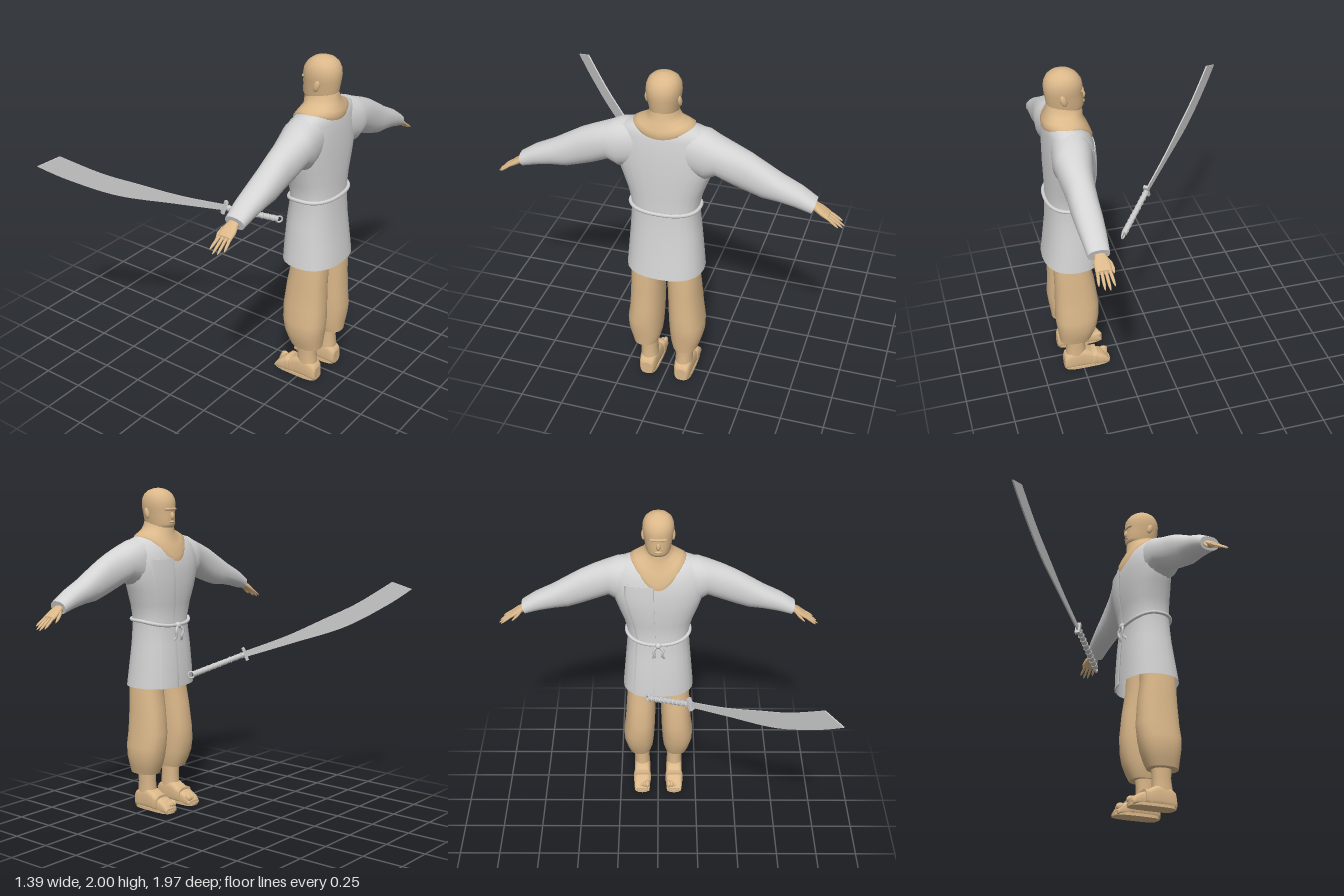
import * as THREE from 'three';

const V = (x, y, z) => new THREE.Vector3(x, y, z);
const mat = (name, color) => new THREE.MeshStandardMaterial({ name, color, side: THREE.DoubleSide });

// Rounded-box/ellipse point: centre + u*cos + v*sin, with corner squareness p
const point = (c, u, v, a, p, k = 1) => {
  const f = (t) => Math.sign(t) * Math.abs(t) ** p * k;
  return c.clone().addScaledVector(u, f(Math.cos(a))).addScaledVector(v, f(Math.sin(a)));
};
const ring = (c, u, v, p = 0.9, n = 24) =>
  Array.from({ length: n }, (_, i) => point(c, u, v, (i / n) * Math.PI * 2, p));

// Skin a list of rings; side = -1 mirrors across z
function loft(rings, { side = 1, start = true, end = true } = {}) {
  const n = rings[0].length, pos = [], idx = [];
  const add = (q) => { pos.push(q.x, q.y, q.z * side); return pos.length / 3 - 1; };
  const tri = (a, b, c) => (side > 0 ? idx.push(a, b, c) : idx.push(a, c, b));
  rings.forEach((r) => r.forEach(add));
  for (let j = 0; j < rings.length - 1; j++) for (let i = 0; i < n; i++) {
    const a = j * n + i, b = j * n + (i + 1) % n;
    tri(a, b, b + n); tri(a, b + n, a + n);
  }
  const cap = (r, flip) => {
    const c = add(r.reduce((s, q) => s.add(q), V(0, 0, 0)).divideScalar(n));
    const ids = r.map(add);
    ids.forEach((d, i) => { const e = ids[(i + 1) % n]; flip ? tri(c, e, d) : tri(c, d, e); });
  };
  if (start) cap(rings[0], true);
  if (end) cap(rings[rings.length - 1], false);
  const g = new THREE.BufferGeometry();
  g.setAttribute('position', new THREE.Float32BufferAttribute(pos, 3));
  g.setIndex(idx);
  g.computeVertexNormals();
  return g;
}

// Horizontal ring from y and its x range and z range
const level = ([y, x0, x1, z0, z1], p) =>
  ring(V((x0 + x1) / 2, y, (z0 + z1) / 2), V(0, 0, (z1 - z0) / 2), V((x1 - x0) / 2, 0, 0), p);

// Tapered limb running mostly along z
const finger = (pts, rx, ry, side) => loft(pts.map(([x, y, z], i) => {
  const k = [0.85, 1, 0.85, 0.35][i];
  return ring(V(x, y, z), V(rx * k, 0, 0), V(0, ry * k, 0), 1, 8);
}), { side });

export function createModel() {
  const root = new THREE.Group();
  const skin = mat('tan', 0xdbb88a), cloth = mat('light grey', 0xd4d4d4), steel = mat('steel grey', 0xcacaca);
  const add = (name, geo, m, parent = root) => {
    const mesh = new THREE.Mesh(geo, m);
    mesh.name = name;
    parent.add(mesh);
    return mesh;
  };

  // Tunic: y, front x, back x, half width
  const rows = [
    [0.79, 0.345, 0.69, 0.222], [0.9, 0.35, 0.675, 0.213], [1.05, 0.362, 0.655, 0.2], [1.2, 0.38, 0.645, 0.188],
    [1.3, 0.37, 0.645, 0.212], [1.4, 0.36, 0.645, 0.25], [1.5, 0.362, 0.642, 0.285], [1.58, 0.37, 0.637, 0.285],
    [1.65, 0.395, 0.63, 0.265], [1.69, 0.43, 0.62, 0.235], [1.715, 0.47, 0.6, 0.16]];
  add('tunic', loft(rows.map(([y, a, b, w]) => level([y, a, b, -w, w], 0.85)), { start: false }), cloth);

  // Overlapping front flap, a thin shell hugging the tunic
  const arc = Array.from({ length: 9 }, (_, i) => Math.PI * 1.5 - 0.7 + i * 0.08);
  add('frontFlap', loft(rows.slice(0, 8).map(([y, a, b, w]) => {
    const at = (t, k) => point(V((a + b) / 2, y, 0), V(0, 0, w), V((b - a) / 2, 0, 0), t, 0.85, k);
    return [...arc.map((t) => at(t, 1.035)), ...arc.slice().reverse().map((t) => at(t, 1.0))];
  })), cloth);

  // Belt cord, knot and hanging ends
  const cord = Array.from({ length: 32 }, (_, i) => {
    const q = point(V(0.512, 1.2, 0), V(0, 0, 0.196), V(0.141, 0, 0), (i / 32) * Math.PI * 2, 0.85);
    q.y = 1.205 - 0.035 * Math.max(0, (0.52 - q.x) / 0.15) ** 2;
    return q;
  });
  add('belt', new THREE.TubeGeometry(new THREE.CatmullRomCurve3(cord, true), 80, 0.011, 8, true), cloth);
  add('beltKnot', new THREE.SphereGeometry(0.02, 12, 8).translate(0.364, 1.17, 0), cloth);
  for (const s of [-1, 1]) {
    const c = new THREE.CatmullRomCurve3([V(0.365, 1.17, 0), V(0.35, 1.14, s * 0.03), V(0.355, 1.1, s * 0.025), V(0.375, 1.07, s * 0.04)]);
    add('beltEnd', new THREE.TubeGeometry(c, 16, 0.008, 6), cloth);
  }

  // Scarf: draped around the shoulders and pointed at the chest
  const drape = (front, back, w, y, dipF, dipB) => Array.from({ length: 32 }, (_, i) => {
    const q = point(V(0.525, y, 0), V(0, 0, w), V(1, 0, 0), (i / 32) * Math.PI * 2, 1);
    const t = q.x - 0.525;
    q.x = 0.525 + t * (t < 0 ? 0.525 - front : back - 0.525);
    q.y -= t < 0 ? dipF * (-t) ** 3 : dipB * t ** 3;
    return q;
  });
  add('scarf', loft([
    drape(0.362, 0.64, 0.165, 1.7, 0.14, 0.035), drape(0.362, 0.646, 0.168, 1.718, 0.125, 0.03),
    drape(0.385, 0.64, 0.14, 1.732, 0.075, 0.02), drape(0.412, 0.625, 0.1, 1.75, 0.04, 0),
    drape(0.412, 0.617, 0.08, 1.775, 0.02, 0), drape(0.425, 0.61, 0.07, 1.81, 0, 0)], { start: false }), skin);

  // Head
  add('head', loft([
    [1.74, 0.44, 0.6, 0.066], [1.765, 0.412, 0.6, 0.07], [1.785, 0.402, 0.608, 0.076], [1.83, 0.405, 0.614, 0.083],
    [1.87, 0.407, 0.62, 0.09], [1.9, 0.405, 0.622, 0.094], [1.935, 0.412, 0.618, 0.092], [1.965, 0.432, 0.602, 0.08],
    [1.985, 0.458, 0.578, 0.058], [1.996, 0.487, 0.548, 0.03], [2, 0.513, 0.52, 0.004],
  ].map(([y, a, b, w]) => level([y, a, b, -w, w], 0.95))), skin);
  add('nose', new THREE.SphereGeometry(1, 12, 8).scale(0.016, 0.024, 0.013).translate(0.406, 1.832, 0), skin);
  add('brow', new THREE.SphereGeometry(1, 16, 8).scale(0.02, 0.011, 0.055).translate(0.42, 1.874, 0), skin);
  add('mouth', new THREE.SphereGeometry(1, 12, 8).scale(0.012, 0.008, 0.024).translate(0.407, 1.797, 0), skin);

  for (const side of [1, -1]) {
    const o = { side };
    const ear = add('ear', new THREE.SphereGeometry(1, 12, 8).scale(0.018, 0.034, 0.012), skin);
    ear.position.set(0.53, 1.85, side * 0.089);
    ear.rotation.z = -0.3;

    // Sleeve: z, top y, bottom y, front x, back x
    add('sleeve', loft([
      [0.12, 1.712, 1.45, 0.42, 0.62], [0.24, 1.698, 1.42, 0.41, 0.64], [0.3, 1.672, 1.455, 0.43, 0.636],
      [0.39, 1.638, 1.415, 0.448, 0.625], [0.47, 1.602, 1.385, 0.455, 0.615], [0.55, 1.555, 1.36, 0.457, 0.613],
      [0.64, 1.5, 1.352, 0.458, 0.608], [0.74, 1.445, 1.335, 0.465, 0.6], [0.825, 1.388, 1.312, 0.473, 0.592],
    ].map(([z, t, b, x0, x1], i) => ring(V((x0 + x1) / 2, (t + b) / 2, z), V((x1 - x0) / 2, 0, 0),
      V(0, (t - b) / 2, i > 6 ? 0.012 : 0)), 0.9), o), cloth);

    // Hand: palm, fingers and thumb
    const hand = new THREE.Group();
    hand.name = 'hand';
    root.add(hand);
    add('palm', loft([
      [0.79, 1.36, 0.03, 0.025], [0.83, 1.342, 0.032, 0.022], [0.865, 1.322, 0.044, 0.019], [0.905, 1.297, 0.044, 0.013],
    ].map(([z, y, rx, ry]) => ring(V(0.527, y, z), V(rx, 0, 0), V(0, ry, 0), 0.8, 16)), o), skin, hand);
    for (let i = 0; i < 4; i++) {
      const x = 0.495 + i * 0.0215, len = [0.07, 0.085, 0.08, 0.06][i], dx = (i - 1.5) * 0.006;
      add('finger', finger([0, 0.35, 0.75, 1].map((t) =>
        [x + dx * t, 1.3 - len * 0.7 * t, 0.9 + len * t]), 0.0095, 0.0095, side), skin, hand);
    }
    add('thumb', finger([[0.497, 1.333, 0.84], [0.482, 1.315, 0.86], [0.474, 1.295, 0.885], [0.473, 1.28, 0.9]],
      0.012, 0.012, side), skin, hand);

    // Baggy trouser leg and ankle
    add('trouserLeg', loft([
      [0.235, 0.445, 0.635, 0.047, 0.193], [0.28, 0.425, 0.64, 0.035, 0.208], [0.34, 0.405, 0.648, 0.028, 0.224],
      [0.41, 0.393, 0.655, 0.024, 0.226], [0.5, 0.388, 0.65, 0.02, 0.213], [0.65, 0.405, 0.645, 0.018, 0.203],
      [0.79, 0.43, 0.645, 0.016, 0.195], [0.98, 0.44, 0.63, 0.005, 0.175],
    ].map((r) => level(r, 0.85)), o), skin);
    add('ankle', loft([[0.05, 0.475, 0.6, 0.057, 0.157], [0.13, 0.476, 0.598, 0.057, 0.157],
      [0.18, 0.48, 0.592, 0.06, 0.157], [0.3, 0.475, 0.6, 0.055, 0.165]].map((r) => level(r, 0.9)), o), skin);

    // Foot with flat sole: x, height, half width
    add('foot', loft([
      [0.614, 0.08, 0.035], [0.605, 0.105, 0.045], [0.57, 0.13, 0.052], [0.5, 0.137, 0.053], [0.46, 0.118, 0.053],
      [0.42, 0.09, 0.054], [0.385, 0.078, 0.054], [0.355, 0.06, 0.052], [0.335, 0.03, 0.048],
    ].map(([x, h, w]) => ring(V(x, h / 2, 0.107), V(0, 0, w), V(0, h / 2, 0), 0.6)), o), skin);
    add('sole', loft([[0, 0.325, 0.612, 0.054, 0.16], [0.018, 0.325, 0.612, 0.054, 0.16]].map((r) => level(r, 0.55)), o), skin);
    for (let i = 0; i < 5; i++) {
      const r = 0.016 - i * 0.0015;
      add('toe', new THREE.SphereGeometry(1, 10, 8).scale(0.03, r * 1.5, r)
        .translate(0.358 + i * 0.005, 0.05 - i * 0.003, side * (0.072 + i * 0.019)), skin);
    }
    // Sandal strap across the instep
    add('strap', loft([0.44, 0.41].map((x) => ring(V(x, 0.053, 0.107), V(0, 0, 0.058), V(0, 0.05, 0), 0.6)), o), skin);
  }

  // Curved sword, drawn in its own upright plane (u along the blade)
  const sword = new THREE.Group();
  sword.name = 'sword';
  sword.position.set(0, 0, 0.18);
  sword.rotation.y = -2.287;
  root.add(sword);
  const U = 1.523;
  const edge = (pts) => pts.map(([x, y]) => new THREE.Vector2(x * U, y));
  const shape = new THREE.Shape();
  shape.moveTo(0, 0.982);
  shape.splineThru(edge([[0.2, 1.063], [0.415, 1.153], [0.59, 1.28], [0.698, 1.381]]));
  shape.lineTo(0.615 * U, 1.428);
  shape.splineThru(edge([[0.47, 1.3], [0.336, 1.21], [0.177, 1.108], [0, 1.018]]));
  const blade = new THREE.ExtrudeGeometry(shape, { depth: 0.008, bevelEnabled: false, curveSegments: 10 }).translate(0, 0, -0.004);
  add('blade', blade, steel, sword);

  const hilt = new THREE.Group();
  hilt.name = 'hilt';
  hilt.position.set(0.015, 1.005, 0);
  hilt.rotation.z = Math.atan2(0.12, 0.335);
  sword.add(hilt);
  const grip = new THREE.CylinderGeometry(0.016, 0.018, 0.34, 12).rotateZ(-Math.PI / 2).translate(-0.17, 0, 0);
  add('grip', grip, steel, hilt);
  for (let i = 0; i < 9; i++)
    add('gripWrap', new THREE.TorusGeometry(0.0165, 0.004, 6, 12).rotateY(Math.PI / 2).translate(-0.025 - i * 0.036, 0, 0), cloth, hilt);
  add('guard', new THREE.BoxGeometry(0.018, 0.08, 0.03), steel, hilt);
  add('pommelRing', new THREE.TorusGeometry(0.019, 0.006, 8, 20).translate(-0.352, 0, 0), steel, hilt);
  return root;
}
